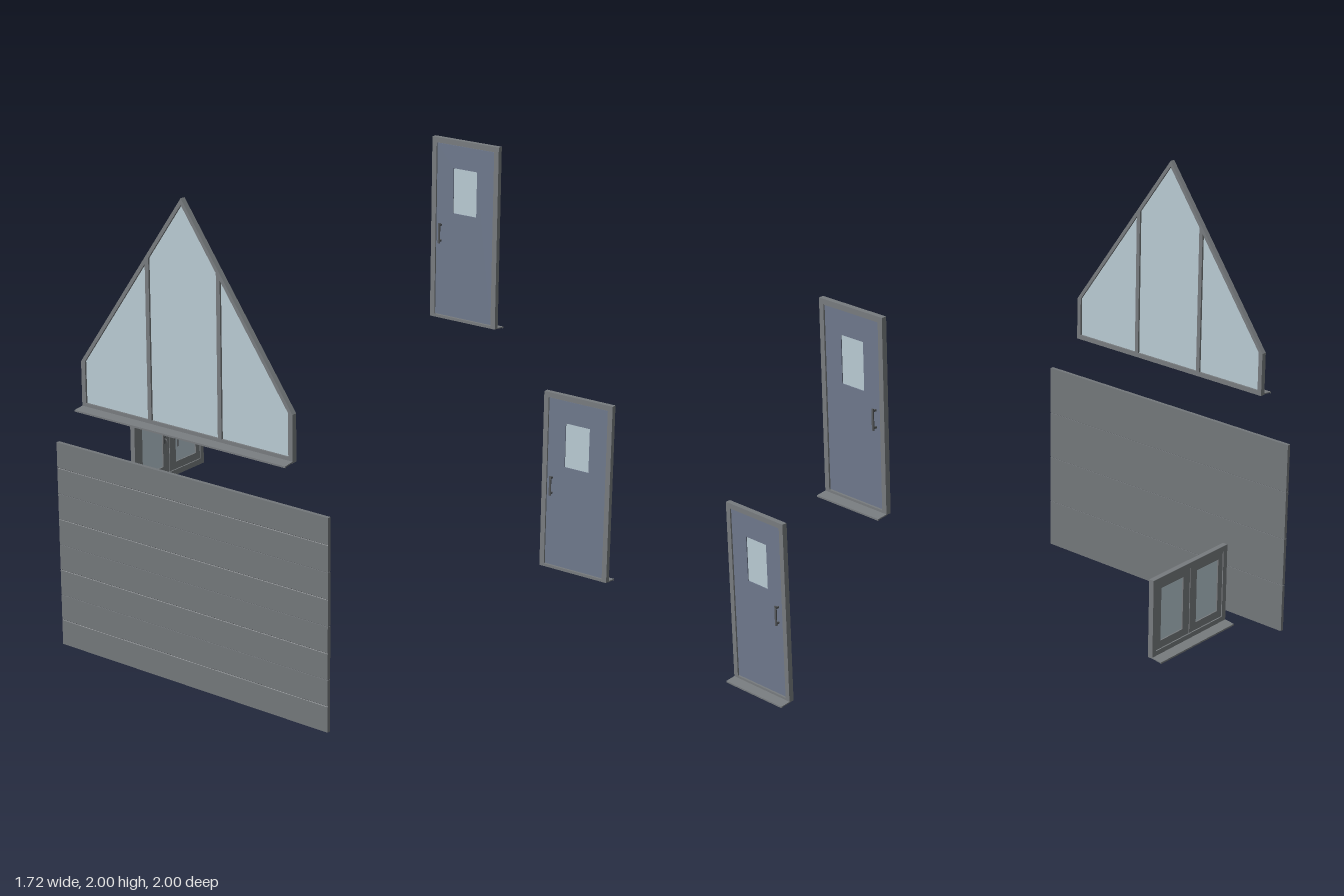
import * as THREE from 'three';

const mat = (color) => new THREE.MeshStandardMaterial({ color });
const FRAME = mat(0x777b7e), GLASS = mat(0xb9cad3), LEAF = mat(0x6e788c), PANEL = mat(0x73777a), METAL = mat(0x55585b);

function add(group, name, geometry, material, x = 0, y = 0, z = 0) {
  const mesh = new THREE.Mesh(geometry, material);
  mesh.name = name;
  mesh.position.set(x, y, z);
  group.add(mesh);
  return mesh;
}

const box = (group, name, material, w, h, d, x, y, z) =>
  add(group, name, new THREE.BoxGeometry(w, h, d), material, x, y, z);

const points = (list) => list.map(([x, y]) => new THREE.Vector2(x, y));
const rect = (x0, y0, x1, y1) => [[x0, y0], [x1, y0], [x1, y1], [x0, y1]];

// Flat plate with openings, its back at z and its front at z + depth
function plate(group, name, material, outline, holes, depth, z) {
  const shape = new THREE.Shape(points(outline));
  holes.forEach((h) => shape.holes.push(new THREE.Path(points(h))));
  return add(group, name, new THREE.ExtrudeGeometry(shape, { depth, bevelEnabled: false }), material, 0, 0, z);
}

// Solid with a (z, y) cross-section, run along x and centred
function runAlongX(group, name, material, section, width) {
  const shape = new THREE.Shape(points(section.map(([z, y]) => [-z, y])));
  const geometry = new THREE.ExtrudeGeometry(shape, { depth: width, bevelEnabled: false });
  geometry.translate(0, 0, -width / 2).rotateY(Math.PI / 2);
  return add(group, name, geometry, material);
}

// Thin sloping drip sill with a small lip, projecting outward (+z)
function sill(group, width, y) {
  runAlongX(group, 'sill', FRAME,
    [[0.018, y - 0.002], [0.064, y - 0.007], [0.064, y - 0.01], [0.068, y - 0.01], [0.068, y - 0.003], [0.018, y + 0.003]], width);
}

const DEPTH = 0.023;

// Pull handle: upright grip on two short posts; side is +1 outside, -1 inside
function pullHandle(group, x, y, side) {
  const face = side > 0 ? 0.018 : 0.004;
  box(group, 'handleGrip', METAL, 0.009, 0.09, 0.005, x, y, face + side * 0.016);
  for (const dy of [-0.035, 0.035])
    box(group, 'handlePost', METAL, 0.007, 0.008, 0.015, x, y + dy, face + side * 0.007);
}

function createDoor(name) {
  const door = new THREE.Group();
  door.name = name;
  plate(door, 'doorFrame', FRAME, rect(-0.17, 0.01, 0.17, 0.815), [rect(-0.147, 0.022, 0.147, 0.792)], DEPTH, 0);
  const pane = rect(-0.06, 0.49, 0.06, 0.69);
  plate(door, 'doorLeaf', LEAF, rect(-0.145, 0.025, 0.145, 0.79), [pane], 0.014, 0.004);
  box(door, 'doorGlass', GLASS, 0.12, 0.2, 0.006, 0, 0.59, 0.011);
  pullHandle(door, 0.12, 0.395, 1);
  pullHandle(door, 0.12, 0.395, -1);
  sill(door, 0.34, 0.01);
  return door;
}

function createCasementWindow() {
  const win = new THREE.Group();
  win.name = 'casementWindow';
  plate(win, 'windowFrame', FRAME, rect(-0.23, 0, 0.23, 0.34), [rect(-0.207, 0.025, 0.207, 0.317)], DEPTH, 0);
  for (const s of [-1, 1]) {
    const a = s < 0 ? -0.205 : 0.002, b = s < 0 ? -0.002 : 0.205;
    const g0 = s < 0 ? -0.178 : 0.042, g1 = s < 0 ? -0.042 : 0.178;
    plate(win, 'sash', FRAME, rect(a, 0.027, b, 0.315), [rect(g0, 0.06, g1, 0.29)], 0.018, 0.002);
    box(win, 'sashGlass', GLASS, 0.136, 0.23, 0.006, s * 0.11, 0.175, 0.011);
    // Lever handle on the inner side
    const lever = new THREE.CatmullRomCurve3([
      [0.187, 0.003], [0.187, -0.01], [0.178, -0.016], [0.16, -0.016], [0.138, -0.016],
    ].map(([y, z]) => new THREE.Vector3(s * 0.034, y, z)));
    add(win, 'windowLever', new THREE.TubeGeometry(lever, 16, 0.003, 8), METAL);
    box(win, 'leverPlate', METAL, 0.011, 0.034, 0.004, s * 0.034, 0.183, 0.001);
  }
  sill(win, 0.46, 0.002);
  return win;
}

function createGableWindow() {
  const win = new THREE.Group();
  win.name = 'gableWindow';
  const half = 0.52, eave = 0.19, apex = 0.93, slope = (apex - eave) / half;
  const m = 0.173, bar = 0.009; // mullion centre and half width
  const roof = (x) => apex - slope * Math.abs(x);
  const inner = (x) => roof(x) - 0.026;
  const x0 = half - 0.02, y0 = 0.02;
  const side = (s) => [[s * x0, y0], [s * x0, inner(x0)], [s * (m + bar), inner(m + bar)], [s * (m + bar), y0]];
  const middle = [[bar - m, y0], [m - bar, y0], [m - bar, inner(m - bar)], [0, inner(0)], [bar - m, inner(m - bar)]];
  plate(win, 'gableFrame', FRAME, [[-half, 0], [half, 0], [half, eave], [0, apex], [-half, eave]],
    [side(-1), middle, side(1)], DEPTH, 0);
  [side(-1), middle, side(1)].forEach((p) => plate(win, 'gableGlass', GLASS, p, [], 0.006, 0.009));
  sill(win, 2 * half, 0.004);
  return win;
}

// Sectional door: four panels, each with a shallow groove across its front
function createSectionalDoor() {
  const door = new THREE.Group();
  door.name = 'sectionalDoor';
  const pitch = 0.22, h = 0.217, d = 0.016, g = 0.002;
  for (let i = 0; i < 4; i++) {
    const panel = runAlongX(door, 'doorPanel', PANEL,
      [[0, 0], [d, 0], [d, h / 2 - g], [d - g, h / 2], [d, h / 2 + g], [d, h], [0, h]], 1.35);
    panel.position.y = i * pitch;
    if (i) box(door, 'panelJoint', METAL, 1.346, 0.005, 0.008, 0, i * pitch - 0.0015, d / 2);
  }
  return door;
}

export function createModel() {
  const model = new THREE.Group();
  model.name = 'doorsAndWindows';
  const place = (part, x, y, z, turn = 0) => {
    part.position.set(x, y, z);
    part.rotation.y = turn;
    model.add(part);
  };
  place(createGableWindow(), 0.09, 1.07, 0.931);
  place(createSectionalDoor(), 0.093, 0.01, 0.93);
  place(createDoor('upperDoor'), 0.09, 1.03, -0.931, Math.PI);
  place(createDoor('lowerDoor'), 0.69, 0, -0.931, Math.PI);
  place(createCasementWindow(), -0.796, 0.4, 0, -Math.PI / 2);
  return model;
}
